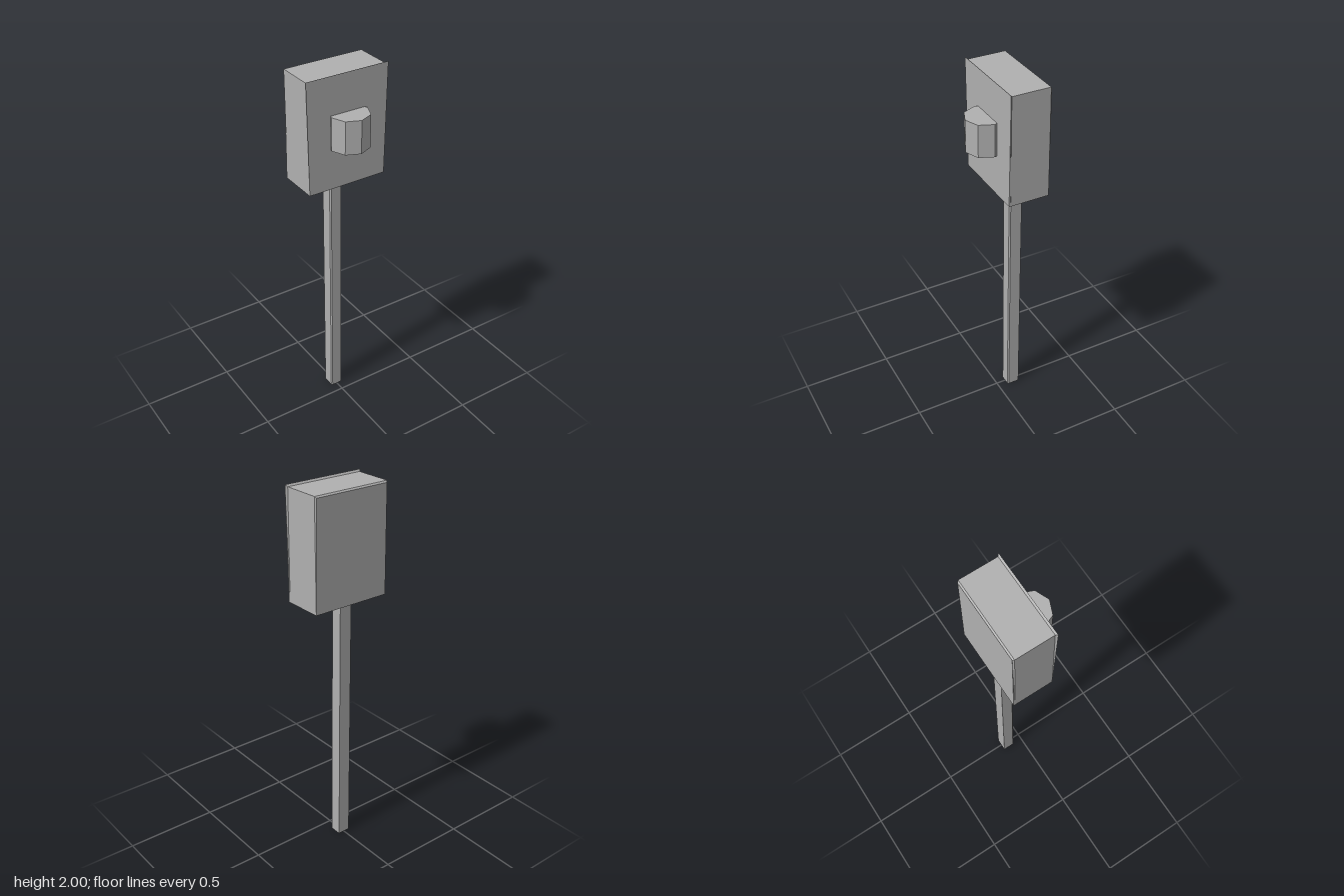
import * as THREE from 'three';

// Loft between quad cross-sections listed from back to front
function loftBox(sections) {
  const rings = sections.map(([z, bottomHalf, topHalf, bottom, top]) => [
    [-bottomHalf, bottom, z], [bottomHalf, bottom, z], [topHalf, top, z], [-topHalf, top, z],
  ]);
  const pos = [];
  const quad = (a, b, c, d) => pos.push(...a, ...b, ...c, ...a, ...c, ...d);
  for (let i = 0; i < rings.length - 1; i++) {
    const r = rings[i], s = rings[i + 1];
    for (let j = 0; j < 4; j++) {
      const k = (j + 1) % 4;
      quad(r[j], r[k], s[k], s[j]);
    }
  }
  const [a, b, c, d] = rings[0];
  quad(d, c, b, a);
  quad(...rings[rings.length - 1]);
  const geo = new THREE.BufferGeometry();
  geo.setAttribute('position', new THREE.Float32BufferAttribute(pos, 3));
  geo.computeVertexNormals();
  return geo;
}

export function createModel() {
  const group = new THREE.Group();
  const grey = new THREE.MeshStandardMaterial({ color: 0xb0b0b0, flatShading: true });
  grey.name = 'plain grey';
  const add = (name, geo) => {
    const mesh = new THREE.Mesh(geo, grey);
    mesh.name = name;
    group.add(mesh);
    return mesh;
  };

  // Housing with a flared front rim and a slightly bevelled back
  add('housing', loftBox([
    [-0.17, 0.22, 0.213, 1.405, 1.982],
    [-0.162, 0.22, 0.22, 1.405, 1.99],
    [0.041, 0.22, 0.22, 1.405, 1.99],
    [0.05, 0.22, 0.23, 1.405, 2.0],
  ]));

  // Eight-sided knob half sunk into the front
  add('frontKnob', new THREE.CylinderGeometry(0.103, 0.103, 0.175, 8))
    .position.set(0, 1.7125, 0.065);

  // Square post with chamfered front corners (shape y is -z)
  const section = new THREE.Shape([
    [-0.035, 0.062], [-0.029, 0.055], [0.029, 0.055],
    [0.035, 0.062], [0.035, 0.125], [-0.035, 0.125],
  ].map(([x, y]) => new THREE.Vector2(x, y)));
  const post = new THREE.ExtrudeGeometry(section, { depth: 1.41, bevelEnabled: false });
  post.rotateX(-Math.PI / 2);
  add('post', post);

  return group;
}
